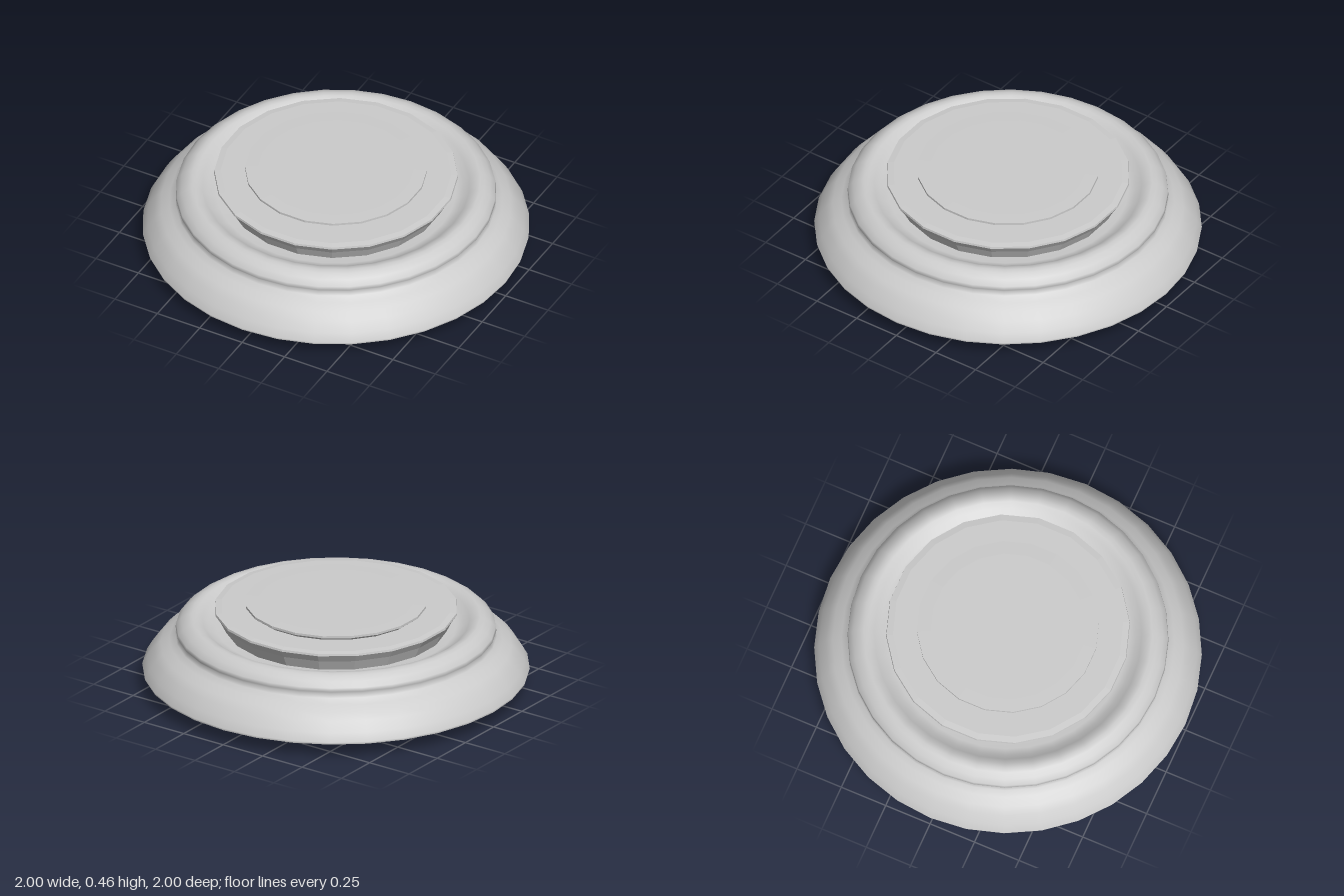
import * as THREE from 'three';

const material = new THREE.MeshStandardMaterial({ color: 0xcccccc });
const flatMaterial = new THREE.MeshStandardMaterial({ color: 0xcccccc, flatShading: true });

// Turned part; the profile runs from the bottom axis outward, up and back in.
function turned(name, profile, sides, mat, phase = 0) {
  const points = profile.map(([r, y]) => new THREE.Vector2(r, y));
  const mesh = new THREE.Mesh(new THREE.LatheGeometry(points, sides, phase), mat);
  mesh.name = name;
  return mesh;
}

// Rounded pad bent along an arc of the underside.
function padGeometry(radius, halfWidth, halfAngle, depth, top) {
  const geometry = new THREE.SphereGeometry(1, 28, 10, 0, Math.PI * 2, Math.PI / 2, Math.PI / 2);
  const p = geometry.attributes.position;
  for (let i = 0; i < p.count; i++) {
    const r = radius + p.getX(i) * halfWidth;
    const a = p.getZ(i) * halfAngle;
    const y = top - Math.pow(Math.abs(p.getY(i)), 0.85) * depth;
    p.setXYZ(i, r * Math.cos(a), y, r * Math.sin(a));
  }
  geometry.computeVertexNormals();
  return geometry;
}

export function createModel() {
  const model = new THREE.Group();
  const half20 = Math.PI / 20;

  // Domed shell with a rounded upper ring and a trough inside it
  model.add(turned('shell', [
    [0.997, 0.08], [1, 0.092], [0.975, 0.135], [0.94, 0.185], [0.905, 0.22],
    [0.86, 0.245], [0.83, 0.268], [0.818, 0.288], [0.828, 0.302], [0.825, 0.322],
    [0.8, 0.348], [0.77, 0.368], [0.745, 0.374], [0.72, 0.372],
    [0.69, 0.354], [0.66, 0.332], [0.62, 0.318], [0.5, 0.314],
  ], 32, material));

  // Underside with a soft swelling around the hub
  model.add(turned('underside', [
    [0.2, 0.053], [0.36, 0.052], [0.42, 0.053], [0.47, 0.062], [0.53, 0.075],
    [0.6, 0.08], [0.8, 0.08], [0.997, 0.08],
  ], 32, material));

  // Faceted hub below
  model.add(turned('hub', [
    [0, 0.012], [0.18, 0.012], [0.25, 0.022], [0.355, 0.056],
  ], 20, flatMaterial, half20));
  const pin = new THREE.Mesh(new THREE.CylinderGeometry(0.008, 0.004, 0.014, 8), flatMaterial);
  pin.name = 'hubPin';
  pin.position.y = 0.007;
  model.add(pin);

  // Two stacked faceted plates on top
  model.add(turned('lowerPlate', [
    [0.57, 0.31], [0.603, 0.375], [0.63, 0.415], [0.628, 0.426], [0.595, 0.43], [0, 0.43],
  ], 20, flatMaterial, half20));
  model.add(turned('upperPlate', [
    [0.445, 0.428], [0.47, 0.447], [0.47, 0.459], [0.4, 0.461], [0, 0.461],
  ], 20, flatMaterial, half20));

  // Four pads underneath
  const pad = padGeometry(0.79, 0.145, 0.38, 0.046, 0.081);
  for (let i = 0; i < 4; i++) {
    const foot = new THREE.Mesh(pad, material);
    foot.name = 'foot' + (i + 1);
    foot.rotation.y = i * Math.PI / 2;
    model.add(foot);
  }
  return model;
}
